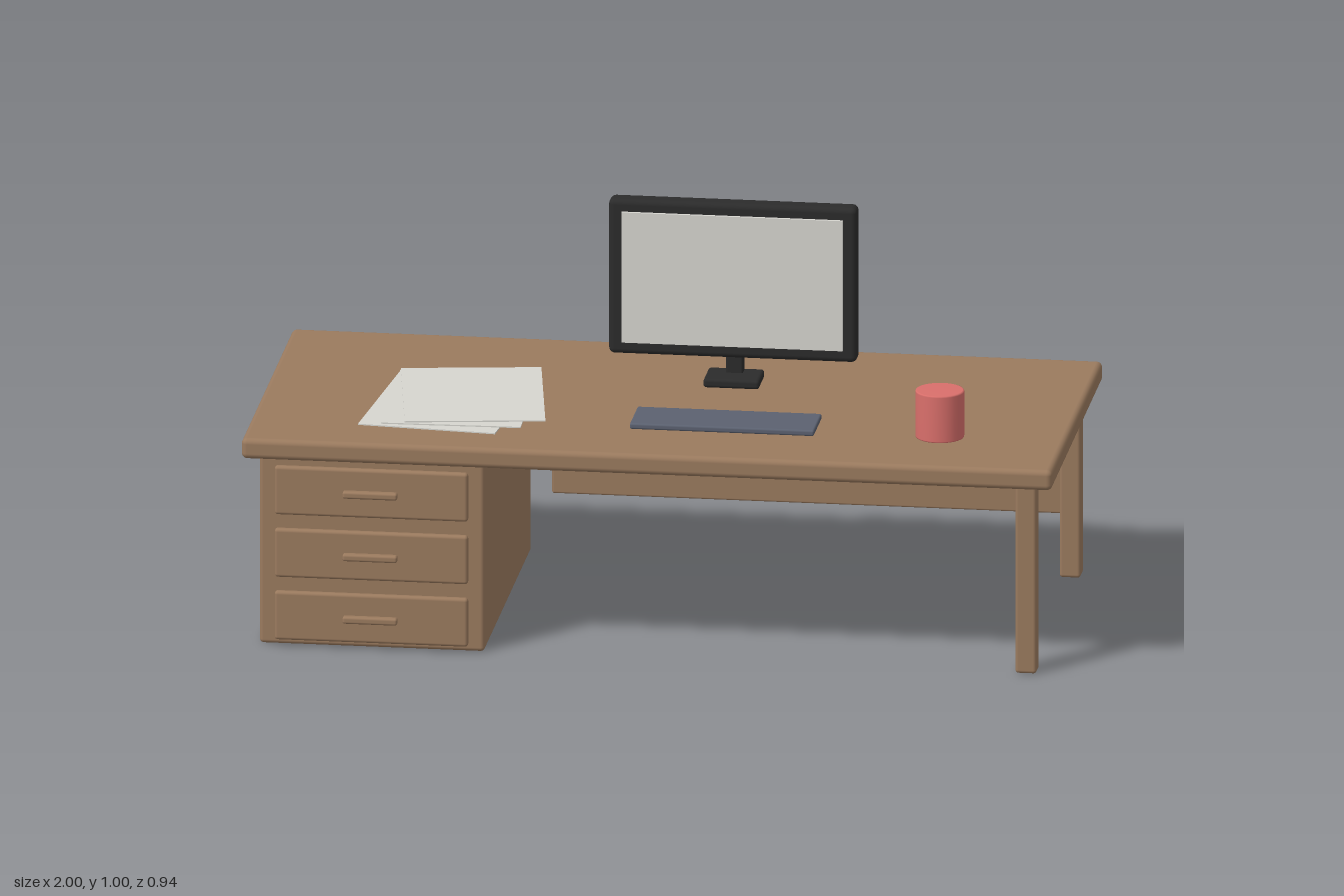
import * as THREE from 'three';
import { RoundedBoxGeometry } from 'three/addons/geometries/RoundedBoxGeometry.js';

const material = (name, color) => {
  const m = new THREE.MeshStandardMaterial({ color });
  m.name = name;
  return m;
};

export function createModel() {
  const wood = material('wood', 0x9a7a5e);
  const black = material('black plastic', 0x2b2b2b);
  const white = material('pale grey', 0xd6d5cf);
  const slate = material('slate grey', 0x5b6170);
  const red = material('red ceramic', 0xd96f6b);

  const desk = new THREE.Group();
  desk.name = 'desk';

  // Box given by its limits on each axis; r rounds the edges
  const box = (name, mat, [x0, x1], [y0, y1], [z0, z1], r = 0, parent = desk) => {
    const w = x1 - x0, h = y1 - y0, d = z1 - z0;
    const geo = r ? new RoundedBoxGeometry(w, h, d, 3, r) : new THREE.BoxGeometry(w, h, d);
    const mesh = new THREE.Mesh(geo, mat);
    mesh.name = name;
    mesh.position.set((x0 + x1) / 2, (y0 + y1) / 2, (z0 + z1) / 2);
    parent.add(mesh);
    return mesh;
  };

  // Desk body
  box('deskTop', wood, [-1, 1], [0.483, 0.535], [-0.467, 0.463], 0.014);
  box('cabinet', wood, [-0.96, -0.405], [0.003, 0.484], [-0.427, 0.425], 0.01);
  for (const z of [0.4, -0.402]) {
    box('leg', wood, [0.905, 0.957], [0.003, 0.484], [z - 0.026, z + 0.026], 0.008);
  }
  box('modestyPanel', wood, [-0.35, 0.91], [0.16, 0.445], [-0.42, -0.398], 0.005);

  // Drawers with handles
  for (let i = 0; i < 3; i++) {
    const y = 0.082 + i * 0.16;
    box('drawer', wood, [-0.92, -0.443], [y - 0.062, y + 0.062], [0.429, 0.449], 0.008);
    box('drawerHandle', wood, [-0.75, -0.615], [y - 0.009, y + 0.009], [0.447, 0.468], 0.006);
  }

  // Monitor
  const monitor = new THREE.Group();
  monitor.name = 'monitor';
  desk.add(monitor);
  box('monitorCase', black, [-0.175, 0.437], [0.605, 1], [-0.187, -0.135], 0.014, monitor);
  box('screen', white, [-0.142, 0.404], [0.637, 0.97], [-0.136, -0.127], 0, monitor);
  box('monitorNeck', black, [0.11, 0.152], [0.55, 0.72], [-0.206, -0.169], 0.005, monitor);
  box('monitorBase', black, [0.062, 0.2], [0.535, 0.558], [-0.213, -0.109], 0.008, monitor);

  // Keyboard
  box('keyboard', slate, [-0.07, 0.385], [0.535, 0.55], [0.11, 0.255], 0.005);

  // Fanned sheets of paper, bottom to top
  [[-0.54, 0.108, -5.5], [-0.51, 0.085, 1.5], [-0.482, 0.063, 9]].forEach(([x, z, turn], i) => {
    const y = 0.536 + i * 0.005;
    const sheet = box('paper', white, [x - 0.172, x + 0.172], [y, y + 0.003], [z - 0.221, z + 0.221]);
    sheet.rotation.y = THREE.MathUtils.degToRad(turn);
  });

  // Mug: closed lathe with softened rims
  const profile = [[0, 0], [0.056, 0], [0.059, 0.001], [0.06, 0.004],
    [0.06, 0.116], [0.059, 0.119], [0.056, 0.12], [0, 0.12]];
  const mug = new THREE.Mesh(
    new THREE.LatheGeometry(profile.map(([r, y]) => new THREE.Vector2(r, y)), 32), red);
  mug.name = 'mug';
  mug.position.set(0.69, 0.535, 0.212);
  desk.add(mug);

  return desk;
}
